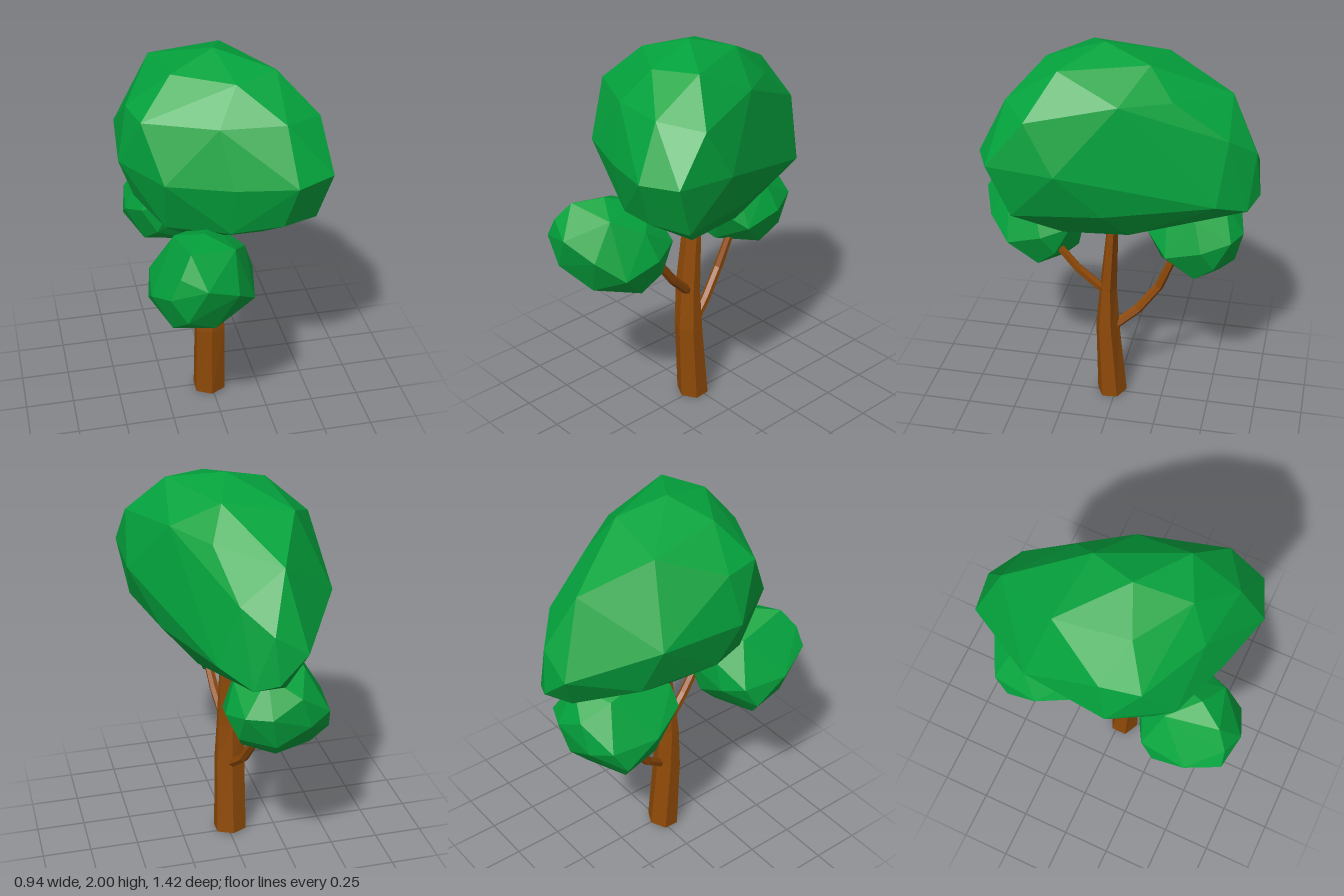
import * as THREE from 'three';
import { ConvexGeometry } from 'three/addons/geometries/ConvexGeometry.js';

const leafMat = new THREE.MeshStandardMaterial({ color: 0x04a33d, flatShading: true });
const barkMat = new THREE.MeshStandardMaterial({ color: 0x8f4a08, flatShading: true });

function addMesh(group, name, geometry, material) {
  const mesh = new THREE.Mesh(geometry, material);
  mesh.name = name;
  group.add(mesh);
  return mesh;
}

// Faceted foliage: the hull around a few points
const foliage = (points) => new ConvexGeometry(points.map((p) => new THREE.Vector3(...p)));

// Six-sided limb: a capped cylinder whose rows follow [x, y, z, radiusX, radiusZ]
function limb(rows) {
  const n = rows.length - 1;
  const geo = new THREE.CylinderGeometry(1, 1, n, 6, n);
  const centres = rows.map((r) => new THREE.Vector3(r[0], r[1], r[2]));
  const tilts = centres.map((c, i) => {
    const dir = centres[Math.min(i + 1, n)].clone().sub(centres[Math.max(i - 1, 0)]).normalize();
    return new THREE.Quaternion().setFromUnitVectors(new THREE.Vector3(0, 1, 0), dir);
  });
  const pos = geo.attributes.position;
  const v = new THREE.Vector3();
  for (let i = 0; i < pos.count; i++) {
    const k = Math.round(pos.getY(i) + n / 2);
    v.set(pos.getX(i) * rows[k][3], 0, pos.getZ(i) * rows[k][4]);
    v.applyQuaternion(tilts[k]).add(centres[k]);
    pos.setXYZ(i, v.x, v.y, v.z);
  }
  geo.computeVertexNormals();
  return geo;
}

// Main crown, listed from the top layer down
const crownPoints = [
  [0, 2, 0.05],
  [0.26, 1.94, 0.22], [-0.22, 1.93, 0.15], [0.05, 1.93, 0.32], [0.08, 1.93, -0.18], [-0.26, 1.88, -0.22],
  [0.44, 1.75, 0.34], [0.25, 1.78, 0.47], [-0.05, 1.77, 0.43], [-0.38, 1.76, 0.27], [-0.42, 1.76, 0.08],
  [-0.12, 1.74, -0.55], [0.15, 1.78, -0.3], [0.3, 1.8, -0.07], [0.09, 1.58, -0.56],
  [0.28, 1.52, 0.6], [0.465, 1.53, 0.52], [0.465, 1.5, 0.2], [0, 1.5, 0.52], [-0.3, 1.5, 0.41],
  [-0.47, 1.5, 0.13], [-0.43, 1.5, -0.3], [-0.2, 1.37, -0.685], [-0.04, 1.47, -0.685],
  [0.42, 1.26, 0.42], [0.24, 1.28, 0.51], [0, 1.24, 0.46], [-0.28, 1.21, 0.29], [-0.39, 1.26, 0.05],
  [-0.33, 1.25, -0.35], [-0.06, 1.24, -0.71], [0.05, 1.2, -0.66], [0.18, 1.27, -0.52], [0.34, 1.25, 0],
  [-0.12, 1.17, -0.6], [0.21, 1.08, 0.22], [-0.1, 1.08, 0.22], [-0.18, 1.08, -0.1],
  [0, 1.0, -0.03], [-0.02, 1.04, -0.22], [0.18, 1.08, -0.1],
];

// Leaf clump, longer on one diagonal, listed from the top layer down
const clumpPoints = [
  [-0.13, 1.27, 0.48], [-0.22, 1.25, 0.61], [0, 1.21, 0.55], [-0.05, 1.2, 0.27], [-0.25, 1.19, 0.34],
  [-0.28, 1.16, 0.67], [-0.16, 1.1, 0.71], [0.08, 1.13, 0.4], [-0.2, 1.1, 0.2], [-0.33, 1.06, 0.68],
  [0, 1.02, 0.65], [0.07, 1.02, 0.22], [-0.05, 1.02, 0.17], [-0.39, 0.98, 0.51], [-0.36, 0.98, 0.27],
  [0.13, 0.98, 0.36], [0.1, 0.92, 0.54], [-0.25, 0.92, 0.68], [-0.25, 0.94, 0.21], [0.08, 0.87, 0.3],
  [-0.38, 0.86, 0.34], [-0.08, 0.85, 0.21], [-0.3, 0.82, 0.56], [-0.1, 0.81, 0.59], [0.04, 0.78, 0.4],
  [-0.3, 0.76, 0.38], [-0.1, 0.77, 0.29], [-0.14, 0.725, 0.42],
];

export function createModel() {
  const tree = new THREE.Group();
  tree.name = 'tree';

  // Trunk, narrowing in depth towards the crown
  addMesh(tree, 'trunk', limb([
    [-0.012, 0.005, 0.02, 0.09, 0.079],
    [-0.015, 0.42, 0.045, 0.085, 0.062],
    [-0.022, 0.65, 0.042, 0.08, 0.044],
    [-0.015, 1.05, 0.015, 0.06, 0.027],
  ]), barkMat);

  // Side branches
  addMesh(tree, 'frontBranch', limb([
    [0, 0.64, 0.05, 0.025, 0.025], [0.01, 0.67, 0.09, 0.025, 0.025],
    [0.03, 0.77, 0.19, 0.024, 0.024], [0.045, 0.91, 0.295, 0.022, 0.022],
  ]), barkMat);
  addMesh(tree, 'backBranch', limb([
    [-0.02, 0.42, 0, 0.025, 0.025], [-0.05, 0.51, -0.11, 0.025, 0.025],
    [-0.07, 0.65, -0.215, 0.024, 0.024], [-0.055, 0.84, -0.29, 0.021, 0.021],
  ]), barkMat);

  // Foliage: the crown and two matching clumps
  addMesh(tree, 'crown', foliage(crownPoints), leafMat);
  const clump = foliage(clumpPoints);
  addMesh(tree, 'frontClump', clump, leafMat);
  addMesh(tree, 'backClump', clump, leafMat).position.z = -0.81;

  return tree;
}
